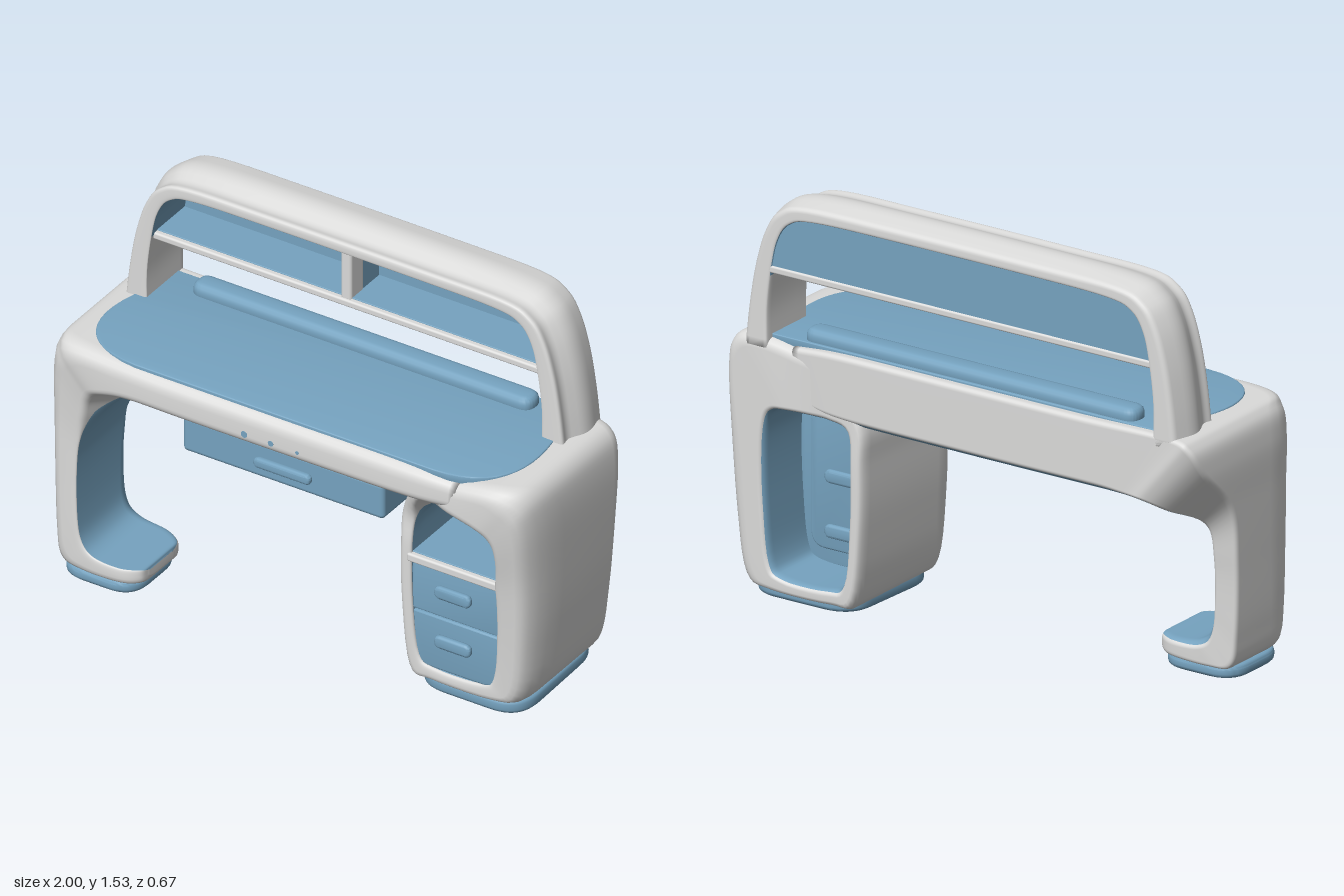
import * as THREE from 'three';
import { toCreasedNormals } from 'three/addons/utils/BufferGeometryUtils.js';
import { RoundedBoxGeometry } from 'three/addons/geometries/RoundedBoxGeometry.js';

const shell = new THREE.MeshStandardMaterial({ color: 0xdbdbda });
shell.name = 'shell grey';
const accent = new THREE.MeshStandardMaterial({ color: 0x76a3c0 });
accent.name = 'accent blue';

const SEG = 5; // segments in each rounded corner

// Closed polygon with rounded corners; points are [u, z, radius]
function roundPolygon(corners) {
  const out = [], n = corners.length;
  corners.forEach(([x, y, r], i) => {
    const c = new THREE.Vector2(x, y);
    const toward = ([px, py]) => {
      const d = new THREE.Vector2(px - x, py - y);
      return d.setLength(Math.min(r, d.length() * 0.45)).add(c);
    };
    const curve = new THREE.QuadraticBezierCurve(
      toward(corners[(i + n - 1) % n]), c, toward(corners[(i + 1) % n]));
    out.push(...curve.getPoints(SEG));
  });
  return out;
}

// Lofts a rounded section along stations [innerX, innerY, outerX, outerY, zBack, zFront, lift, frontRadius].
// lift slopes the front of the inner side, whose back edge is chamfered;
// isBlue(innerX, innerY, chamfer) paints the inner faces.
function band(stations, { closed = false, steps = 5, front = 0.06, back = 0.02, bump = 0, chamfer = 0.03, isBlue }) {
  const spline = (f) => new THREE.CatmullRomCurve3(
    stations.map((s) => new THREE.Vector3(...f(s))), closed, 'catmullrom', 0.5);
  const inner = spline((s) => [s[0], s[1], s[6] || 0]);
  const outer = spline((s) => [s[2], s[3], 0]);
  const depth = spline((s) => [s[4], s[5], s[7] || front]);
  const rows = (closed ? stations.length : stations.length - 1) * steps;
  const count = closed ? rows : rows + 1;
  const pos = [], start = [];
  let n = 0;
  for (let i = 0; i < count; i++) {
    const a = inner.getPoint(i / rows), b = outer.getPoint(i / rows), d = depth.getPoint(i / rows);
    const lift = Math.max(0, a.z);
    a.z = 0;
    start.push(a);
    const dir = b.clone().sub(a), T = dir.length();
    dir.normalize();
    const cut = Math.min(chamfer, 0.2 * T);
    const ridge = bump ? [[T + bump, d.y - 0.13, 0.05], [T - 0.012, d.y - 0.045, 0.02]] : [];
    const ring = roundPolygon([
      [0, d.x + 1.4 * cut, 0.02], [cut, d.x, 0.01], [T, d.x, back], ...ridge,
      [T, d.y, d.z], [lift, d.y, 0.025], [0, d.y - (0.04 + 2.8 * lift) * (d.y - d.x), 0.05]]);
    n = ring.length;
    ring.forEach((p) => pos.push(a.x + dir.x * p.x, a.y + dir.y * p.x, p.y));
  }
  const grey = [], blue = [], lastCorner = n - SEG - 1;
  for (let i = 0; i < rows; i++) {
    for (let j = 0; j < n; j++) {
      const i2 = (i + 1) % count, j2 = (j + 1) % n;
      const a = i * n + j, b = i * n + j2, c = i2 * n + j2, d = i2 * n + j;
      const painted = (j >= lastCorner || j <= SEG) && isBlue(start[i].x, start[i].y, j <= SEG);
      (painted ? blue : grey).push(a, b, c, a, c, d);
    }
  }
  if (!closed) {
    const last = rows * n;
    for (let j = 1; j < n - 1; j++) grey.push(0, j + 1, j, last, last + j, last + j + 1);
  }
  // Turn all faces outward using the signed volume
  const idx = [...grey, ...blue], P = (k) => new THREE.Vector3().fromArray(pos, k * 3);
  let volume = 0;
  for (let k = 0; k < idx.length; k += 3) volume += P(idx[k]).dot(P(idx[k + 1]).cross(P(idx[k + 2])));
  if (volume < 0) for (let k = 0; k < idx.length; k += 3) [idx[k], idx[k + 1]] = [idx[k + 1], idx[k]];
  const g = new THREE.BufferGeometry();
  g.setAttribute('position', new THREE.Float32BufferAttribute(pos, 3));
  g.setIndex(idx);
  g.addGroup(0, grey.length, 0);
  g.addGroup(grey.length, blue.length, 1);
  g.computeVertexNormals();
  return g;
}

// Rounded rectangle; radii for the low-y and high-y corners
function roundRect(x0, y0, x1, y1, low, high = low) {
  const s = new THREE.Shape();
  s.moveTo(x0 + low, y0);
  s.lineTo(x1 - low, y0);
  s.quadraticCurveTo(x1, y0, x1, y0 + low);
  s.lineTo(x1, y1 - high);
  s.quadraticCurveTo(x1, y1, x1 - high, y1);
  s.lineTo(x0 + high, y1);
  s.quadraticCurveTo(x0, y1, x0, y1 - high);
  s.lineTo(x0, y0 + low);
  s.quadraticCurveTo(x0, y0, x0 + low, y0);
  return s;
}

// Upright plate between two z values
function plate(shape, z0, z1, bevel = 0.006) {
  const g = new THREE.ExtrudeGeometry(shape, {
    depth: z1 - z0 - 2 * bevel, bevelEnabled: bevel > 0, bevelSize: bevel, bevelThickness: bevel,
    bevelOffset: -bevel, bevelSegments: 3, curveSegments: 12 });
  return toCreasedNormals(g.translate(0, 0, z0 + bevel), 0.7);
}

// Flat slab between two heights; the shape is drawn in x and z
const slab = (shape, y0, y1, bevel) => plate(shape, -y1, -y0, bevel).rotateX(Math.PI / 2);

export function createModel() {
  const model = new THREE.Group();
  const add = (name, geometry, material) => {
    const m = new THREE.Mesh(geometry, material);
    m.name = name;
    model.add(m);
  };
  const box = (name, x0, x1, y0, y1, z0, z1, mat, r = 0.008) => add(name,
    new RoundedBoxGeometry(x1 - x0, y1 - y0, z1 - z0, 3, r)
      .translate((x0 + x1) / 2, (y0 + y1) / 2, (z0 + z1) / 2), mat);

  // Foot, curved leg and desk body in one sweep
  add('legAndDeskBody', band([
    [-0.62, 0.09, -0.62, 0.06, 0.05, 0.20],
    [-0.632, 0.106, -0.632, 0.045, 0.0, 0.25],
    [-0.70, 0.11, -0.70, 0.04, -0.04, 0.285],
    [-0.80, 0.122, -0.86, 0.04, -0.05, 0.29],
    [-0.85, 0.17, -0.955, 0.06, -0.05, 0.29, 0, 0.1],
    [-0.868, 0.27, -0.978, 0.18, -0.05, 0.29, 0, 0.12],
    [-0.872, 0.45, -0.99, 0.45, -0.06, 0.288, 0, 0.14],
    [-0.86, 0.58, -0.997, 0.68, -0.10, 0.288, 0, 0.15],
    [-0.82, 0.67, -1.0, 0.86, -0.27, 0.295, 0.03, 0.16],
    [-0.76, 0.712, -0.975, 0.96, -0.33, 0.305, 0.09, 0.15],
    [-0.67, 0.72, -0.88, 0.989, -0.33, 0.32, 0.14, 0.08],
    [-0.5, 0.72, -0.5, 0.985, -0.33, 0.33, 0.14],
    [0, 0.72, 0, 0.985, -0.33, 0.33, 0.14],
    [0.5, 0.725, 0.5, 0.985, -0.33, 0.33, 0.14],
    [0.70, 0.75, 0.72, 0.97, -0.32, 0.31, 0.12],
  ], { steps: 8, isBlue: (x, y, chamfer) => chamfer || x < -0.7 || y < 0.6 }), [shell, accent]);

  // Cabinet shell, open through front and back
  add('cabinetShell', band([
    [0.50, 0.14, 0.455, 0.07, -0.33, 0.215],
    [0.57, 0.10, 0.55, 0.04, -0.33, 0.215],
    [0.75, 0.10, 0.82, 0.04, -0.33, 0.21],
    [0.81, 0.15, 0.925, 0.08, -0.33, 0.21, 0, 0.15],
    [0.833, 0.35, 0.965, 0.30, -0.33, 0.225, 0, 0.2],
    [0.84, 0.55, 0.99, 0.60, -0.33, 0.25, 0, 0.22],
    [0.83, 0.67, 1.0, 0.85, -0.33, 0.283, 0.04, 0.22],
    [0.80, 0.715, 0.975, 0.958, -0.33, 0.30, 0.07, 0.15],
    [0.74, 0.725, 0.89, 0.989, -0.33, 0.313, 0.10, 0.08],
    [0.64, 0.727, 0.72, 0.968, -0.325, 0.312, 0.12],
    [0.56, 0.725, 0.56, 0.93, -0.325, 0.28, 0.12],
    [0.49, 0.70, 0.43, 0.745, -0.325, 0.215, 0.01, 0.08],
    [0.475, 0.58, 0.418, 0.58, -0.33, 0.22, 0, 0.08],
    [0.477, 0.35, 0.422, 0.35, -0.33, 0.22, 0, 0.08],
  ], { closed: true, back: 0.055, chamfer: 0.015, isBlue: () => true }), [shell, accent]);

  // Cabinet interior: partition, shelf, drawers
  add('cabinetPartition', plate(roundRect(0.46, 0.09, 0.85, 0.735, 0.08, 0.05), -0.09, -0.06), accent);
  add('cabinetRearPanel', plate(roundRect(0.52, 0.15, 0.79, 0.67, 0.06), -0.105, -0.085), accent);
  box('cabinetShelf', 0.46, 0.85, 0.52, 0.553, -0.07, 0.225, shell);
  box('nookFloor', 0.47, 0.84, 0.55, 0.557, -0.07, 0.205, accent, 0.003);
  add('drawerBacking', plate(roundRect(0.47, 0.10, 0.845, 0.525, 0.08, 0.01), 0.13, 0.185), accent);
  add('lowerDrawer', plate(roundRect(0.47, 0.10, 0.845, 0.316, 0.09, 0.008), 0.16, 0.205), accent);
  add('upperDrawer', plate(roundRect(0.47, 0.322, 0.845, 0.525, 0.008, 0.04), 0.16, 0.205), accent);
  for (const y of [0.225, 0.43]) {
    const grip = roundRect(0.572, y - 0.025, 0.722, y + 0.025, 0.025);
    add('drawerHandle', plate(grip, 0.2, 0.226, 0.01), accent);
    add('rearHandle', plate(grip, -0.125, -0.1, 0.01), accent);
  }

  // Blue pads under the cabinet and foot; the plinth tilts up slightly to the back
  add('cabinetPlinth', slab(roundRect(0.468, -0.32, 0.917, 0.2, 0.13), 0, 0.055, 0.016)
    .rotateX(0.035).translate(0, 0.007, 0), accent);
  add('footPad', slab(roundRect(-0.96, -0.04, -0.64, 0.278, 0.11), 0, 0.048, 0.016), accent);

  // Centre drawer and small dots on the apron
  box('centreDrawer', -0.42, 0.415, 0.712, 0.858, -0.27, 0.303, accent, 0.018);
  add('centreHandle', plate(roundRect(-0.115, 0.76, 0.12, 0.8, 0.02), 0.295, 0.323, 0.01), accent);
  [[-0.145, 0.013], [-0.035, 0.011], [0.075, 0.007]].forEach(([x, r]) => add('apronDot',
    new THREE.CylinderGeometry(r, r, 0.008, 16).rotateX(Math.PI / 2).translate(x, 0.89, 0.328), accent));

  // Desk mat and raised tray
  const mat = new THREE.Shape();
  mat.moveTo(-0.87, -0.295);
  mat.lineTo(0.87, -0.295);
  mat.lineTo(0.87, -0.08);
  mat.bezierCurveTo(0.91, 0.12, 0.86, 0.29, 0.62, 0.297);
  mat.lineTo(-0.62, 0.297);
  mat.bezierCurveTo(-0.86, 0.29, -0.93, 0.12, -0.87, -0.08);
  add('deskMat', slab(mat, 0.96, 0.994, 0.004), accent);
  add('raisedTray', slab(roundRect(-0.71, -0.285, 0.7, -0.19, 0.047), 0.97, 1.038, 0.025), accent);

  // Hutch frame, mirrored half by half
  const half = [
    [-0.82, 0.95, -0.915, 0.95], [-0.82, 1.1, -0.898, 1.1], [-0.802, 1.25, -0.872, 1.25],
    [-0.776, 1.36, -0.832, 1.38], [-0.725, 1.43, -0.775, 1.462], [-0.62, 1.457, -0.66, 1.502],
    [-0.3, 1.463, -0.3, 1.508]];
  const right = half.map(([a, b, c, d]) => [-a, b, -c, d]).reverse();
  add('hutchFrame', band([...half, ...right].map((s) => [...s, -0.33, -0.085]), {
    front: 0.02, bump: 0.028, chamfer: 0.006, isBlue: (x, y) => y > 1.245 }), [shell, accent]);

  // Hutch shelf, back panel and divider
  const backShape = new THREE.Shape([
    [-0.82, 1.245], [0.82, 1.245], [0.79, 1.37], [0.745, 1.44], [0.63, 1.47],
    [-0.63, 1.47], [-0.745, 1.44], [-0.79, 1.37]].map((p) => new THREE.Vector2(...p)));
  add('hutchBackPanel', plate(backShape, -0.322, -0.30, 0), accent);
  box('hutchShelf', -0.825, 0.825, 1.232, 1.26, -0.328, -0.105, shell);
  box('shelfLiner', -0.81, 0.81, 1.256, 1.264, -0.31, -0.125, accent, 0.003);
  box('dividerFront', -0.034, 0.01, 1.25, 1.475, -0.2, -0.115, shell, 0.012);
  box('dividerRear', -0.032, 0.008, 1.25, 1.475, -0.31, -0.19, accent, 0.004);
  return model;
}
